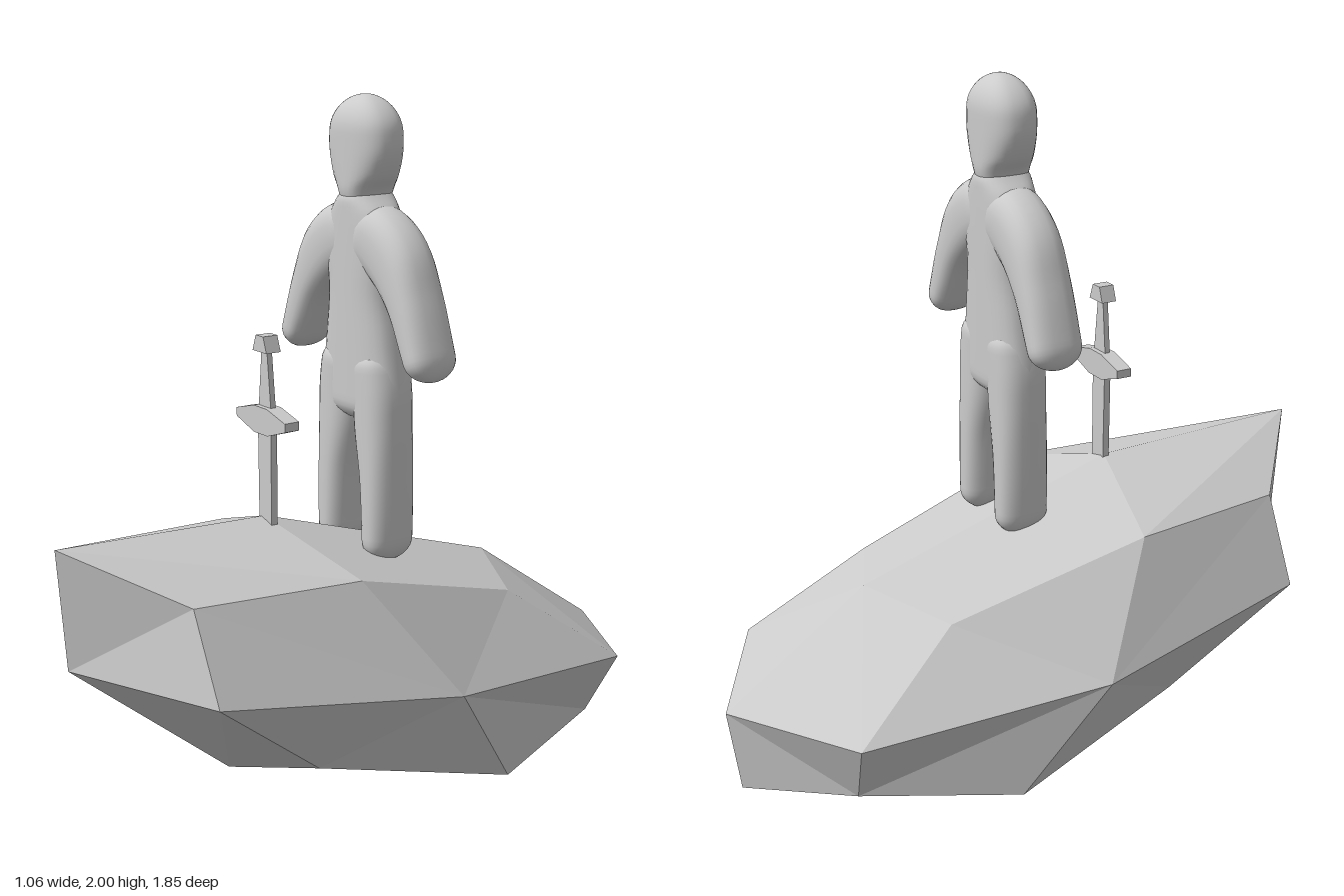
import * as THREE from 'three';

const grey = new THREE.MeshStandardMaterial({ color: 0xcccccc });
const greyFlat = new THREE.MeshStandardMaterial({ color: 0xcccccc, flatShading: true });

function add(parent, name, geometry, material) {
  const mesh = new THREE.Mesh(geometry, material);
  mesh.name = name;
  parent.add(mesh);
  return mesh;
}

// Boulder: two mirrored halves, each a 3x3 side patch joined to the centre-line loop
function boulderGeometry() {
  const hub = [0.53, 0.43, -0.01];
  const side = [
    [0.28, 0.75, 0.68], [0.4, 0.51, 0.68], [0.32, 0.23, 0.32], [0.45, 0.11, -0.24],
    [0.3, 0.155, -0.67], [0.4, 0.35, -0.7], [0.28, 0.59, -0.37], [0.35, 0.75, 0.2],
  ];
  const mid = [
    [0, 0.88, 0.925], [0, 0.54, 0.9], [0, 0.14, 0.41], [0, 0, -0.31],
    [0, 0.085, -0.89], [0, 0.33, -0.925], [0, 0.62, -0.5], [0, 0.86, 0.28],
  ];
  const pos = [];
  for (const s of [1, -1]) {
    const quad = (a, b, c, d) => {
      const order = s > 0 ? [a, b, c, a, c, d] : [a, c, b, a, d, c];
      for (const p of order) pos.push(p[0] * s, p[1], p[2]);
    };
    for (let i = 0; i < 8; i++) {
      const n = (i + 1) % 8;
      quad(side[i], mid[i], mid[n], side[n]);
      if (i % 2 === 0) quad(hub, side[(i + 7) % 8], side[i], side[n]);
    }
  }
  const g = new THREE.BufferGeometry();
  g.setAttribute('position', new THREE.Float32BufferAttribute(pos, 3));
  g.computeVertexNormals();
  return g;
}

// Soft limb: rounded sections along a path of [x, y, halfWidth], with domed ends
function limb(points, cap, depth = 0.077) {
  const curve = new THREE.CatmullRomCurve3(points.map((p) => new THREE.Vector3(...p)));
  const rows = 36, cols = 28, pos = [], index = [];
  const length = curve.getLength();
  const soft = (v) => Math.sign(v) * Math.pow(Math.abs(v), 0.8);
  for (let i = 0; i <= rows; i++) {
    const u = (1 - Math.cos((Math.PI * i) / rows)) / 2;
    const p = curve.getPointAt(u);
    const t = curve.getTangentAt(u).setZ(0).normalize();
    const k = Math.min(1, (Math.min(u, 1 - u) * length) / cap);
    const dome = Math.max(0.001, Math.sqrt(1 - (1 - k) ** 2));
    for (let j = 0; j < cols; j++) {
      const a = (j / cols) * Math.PI * 2;
      const w = soft(Math.cos(a)) * p.z * dome;
      pos.push(p.x - t.y * w, p.y + t.x * w, soft(Math.sin(a)) * depth * dome);
      if (i < rows) {
        const n = (j + 1) % cols, r = i * cols, q = r + cols;
        index.push(r + j, r + n, q + n, r + j, q + n, q + j);
      }
    }
  }
  const g = new THREE.BufferGeometry();
  g.setAttribute('position', new THREE.Float32BufferAttribute(pos, 3));
  g.setIndex(index);
  g.computeVertexNormals();
  return g;
}

// Symmetric flat plate from its right-hand outline, listed bottom to top
function plate(outline, depth) {
  const pts = [...outline, ...outline.map(([x, y]) => [-x, y]).reverse()];
  const shape = new THREE.Shape(pts.map(([x, y]) => new THREE.Vector2(x, y)));
  return new THREE.ExtrudeGeometry(shape, { depth, bevelEnabled: false }).translate(0, 0, -depth / 2);
}

export function createModel() {
  const model = new THREE.Group();
  model.name = 'figureOnBoulder';
  add(model, 'boulder', boulderGeometry(), greyFlat);

  // Standing figure
  const figure = new THREE.Group();
  figure.name = 'figure';
  figure.position.set(0.037, 0, -0.037);
  model.add(figure);
  add(figure, 'head', limb([
    [0, 1.66, 0.06], [0, 1.74, 0.062], [0, 1.785, 0.095], [0, 1.85, 0.119],
    [0, 1.92, 0.117], [0, 2, 0.105],
  ], 0.1), grey);
  add(figure, 'torso', limb([
    [0, 1.77, 0.055], [0, 1.73, 0.065], [0, 1.68, 0.11], [0, 1.58, 0.135], [0, 1.46, 0.122],
    [0, 1.34, 0.137], [0, 1.2, 0.156], [0, 1.1, 0.155],
  ], 0.06), grey);
  for (const [s, label] of [[1, 'left'], [-1, 'right']]) {
    add(figure, label + 'Arm', limb([
      [0.0, 1.63, 0.08], [0.08, 1.61, 0.095], [0.155, 1.56, 0.092], [0.225, 1.46, 0.066],
      [0.275, 1.35, 0.052], [0.312, 1.26, 0.04],
    ].map(([x, y, w]) => [x * s, y, w]), 0.06), grey);
    add(figure, label + 'Leg', limb([
      [0.07, 1.32, 0.06], [0.08, 1.2, 0.076], [0.085, 1.1, 0.075], [0.1, 0.95, 0.058],
      [0.105, 0.82, 0.05], [0.105, 0.71, 0.043],
    ].map(([x, y, w]) => [x * s, y, w]), 0.06), grey);
  }

  // Sword planted point-down in the boulder
  const sword = new THREE.Group();
  sword.name = 'sword';
  sword.position.set(0.019, 0, 0.28);
  model.add(sword);
  add(sword, 'blade', plate([[0.03, 0.8], [0.032, 1.12]], 0.02), greyFlat);
  add(sword, 'guard', plate([
    [0.033, 1.1], [0.12, 1.128], [0.12, 1.152], [0.033, 1.175],
  ], 0.046), greyFlat);
  add(sword, 'grip', plate([[0.03, 1.17], [0.013, 1.335]], 0.016), greyFlat);
  add(sword, 'pommel', plate([[0.034, 1.328], [0.018, 1.372]], 0.046), greyFlat);
  return model;
}
